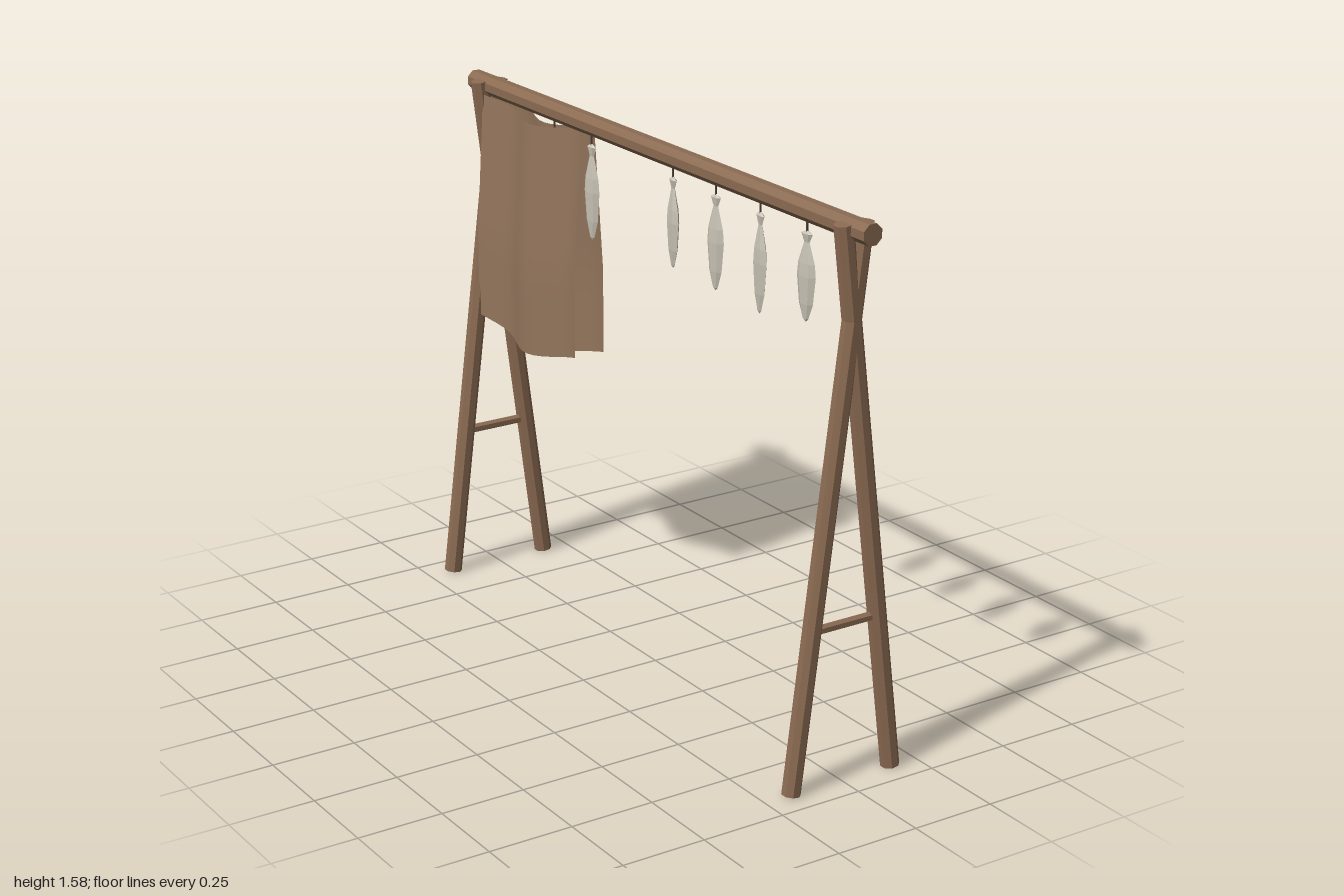
import * as THREE from 'three';

export function createModel() {
  const model = new THREE.Group();
  model.name = 'dryingRack';

  const material = (name, color, opts = {}) => {
    const m = new THREE.MeshStandardMaterial({ color, ...opts });
    m.name = name;
    return m;
  };
  const wood = material('wood', 0x8b6b52, { flatShading: true });
  const hide = material('hide', 0x93755c, { side: THREE.DoubleSide });
  const fishSkin = material('fishSkin', 0xc8c2b4, { flatShading: true });
  const cord = material('cord', 0x4a4038, { flatShading: true });

  // A straight pole between two points
  const pole = (name, from, to, radius, sides, mat, parent) => {
    const a = new THREE.Vector3(...from), b = new THREE.Vector3(...to);
    const geo = new THREE.CylinderGeometry(radius, radius, a.distanceTo(b), sides);
    geo.rotateY(Math.PI / sides);
    const mesh = new THREE.Mesh(geo, mat);
    mesh.name = name;
    mesh.position.copy(a).add(b).multiplyScalar(0.5);
    mesh.quaternion.setFromUnitVectors(new THREE.Vector3(0, 1, 0), b.sub(a).normalize());
    parent.add(mesh);
  };

  // Ridge beam
  pole('ridgeBeam', [0, 1.557, -1], [0, 1.557, 1], 0.031, 8, wood, model);

  // Crossed legs with a brace at each end
  for (const z of [0.92, -0.92]) {
    const frame = new THREE.Group();
    frame.name = z > 0 ? 'frontFrame' : 'backFrame';
    for (const s of [1, -1]) {
      pole(s > 0 ? 'leftLeg' : 'rightLeg', [s * 0.166, 0.004, z], [s * -0.033, 1.572, z], 0.027, 8, wood, frame);
    }
    pole('brace', [-0.1, 0.465, z], [0.1, 0.465, z], 0.014, 6, wood, frame);
    model.add(frame);
  }

  // Fish hung by the tail: [z, length, turn]
  const fishes = [
    [0.72, 0.25, 0.15], [0.51, 0.285, -0.1], [0.3, 0.275, 0.1],
    [0.09, 0.265, -0.15], [-0.335, 0.29, 0.1], [-0.54, 0.27, -0.3],
  ];
  // Radius and height along the body, nose to tail
  const profile = [[0, -1], [0.01, -0.97], [0.026, -0.8], [0.035, -0.5], [0.031, -0.36],
    [0.01, -0.13], [0.021, -0.04], [0, 0]].map(([r, y]) => new THREE.Vector2(r, y));
  const fishGeo = new THREE.LatheGeometry(profile, 6);
  for (const [z, length, turn] of fishes) {
    const hanging = new THREE.Group();
    hanging.name = 'hangingFish';
    const fish = new THREE.Mesh(fishGeo, fishSkin);
    fish.name = 'fish';
    fish.scale.set(0.36, length, 1);
    fish.rotation.y = turn;
    fish.position.set(0, 1.502, z);
    hanging.add(fish);
    pole('cord', [0, 1.49, z], [0, 1.54, z], 0.003, 5, cord, hanging);
    model.add(hanging);
  }

  // Two wavy sheets of hide, one down each side of the beam
  for (const s of [1, -1]) {
    const geo = new THREE.PlaneGeometry(1, 1, 16, 8);
    const p = geo.attributes.position;
    for (let i = 0; i < p.count; i++) {
      const u = p.getX(i) + 0.5, drop = 0.5 - p.getY(i);
      const z = -0.375 - u * 0.525;
      const sag = Math.sin(Math.PI * u);
      const top = 1.535 - 0.03 * sag, bottom = 0.845 - 0.045 * sag;
      const wave = 0.02 * Math.cos(2 * Math.PI * (z + 0.78) / 0.35);
      p.setXYZ(i, s * (0.023 + 0.027 * Math.min(1, drop * 1.6)) + wave, top + (bottom - top) * drop, z);
    }
    geo.computeVertexNormals();
    const sheet = new THREE.Mesh(geo, hide);
    sheet.name = s > 0 ? 'leftHide' : 'rightHide';
    model.add(sheet);
  }

  return model;
}
